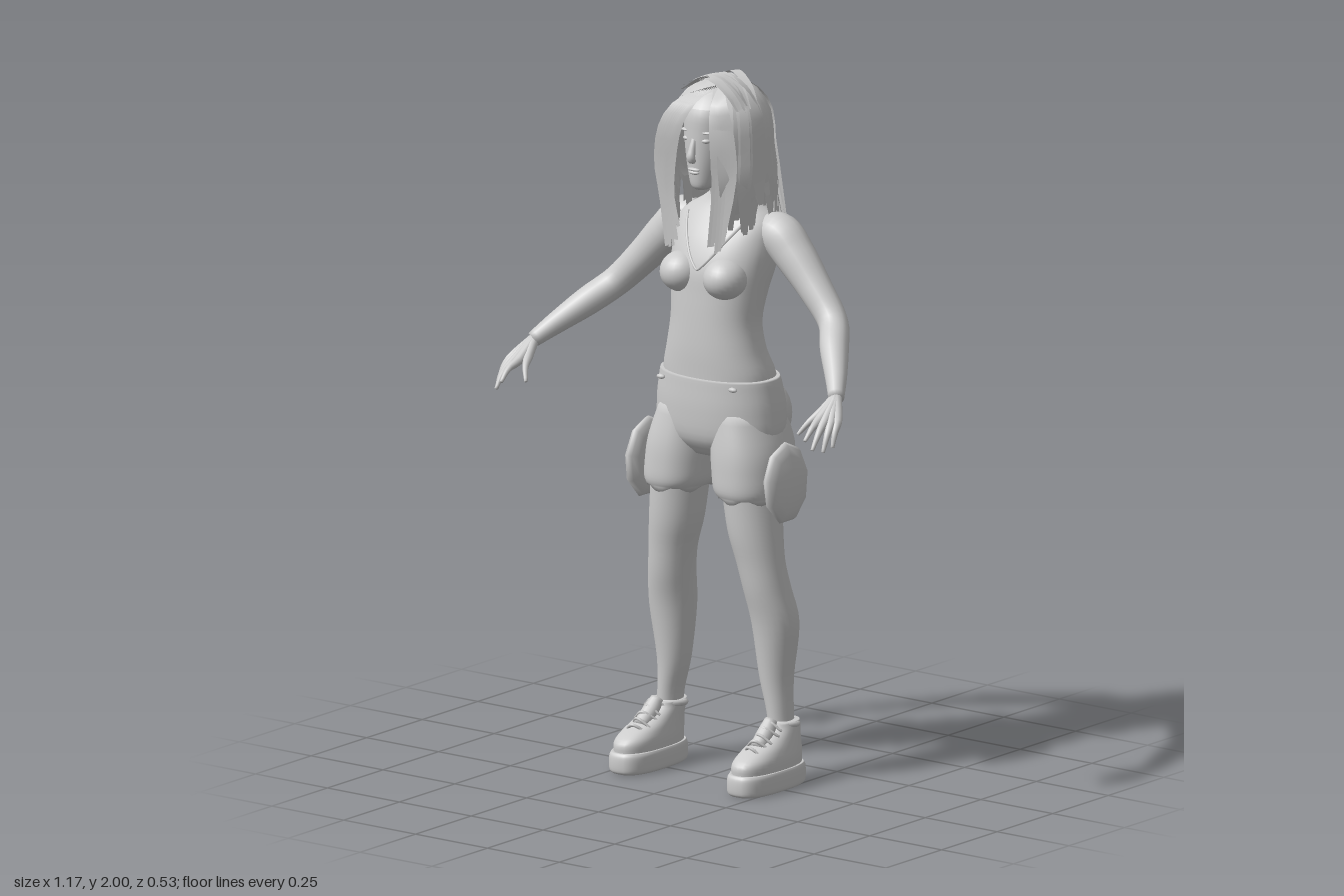
import * as THREE from 'three';

const mat = new THREE.MeshStandardMaterial({ color: 0xcccccc, side: THREE.DoubleSide });
mat.name = 'light grey';
const V = (x, y, z) => new THREE.Vector3(x, y, z);

let seed = 7;
const rnd = (a, b) => {
  seed = (seed * 16807) % 2147483647;
  return a + (b - a) * (seed / 2147483647);
};

// Joins rings of points into a capped skin
function skin(rings) {
  const n = rings[0].length, pos = [], idx = [];
  rings.forEach(r => r.forEach(p => pos.push(p.x, p.y, p.z)));
  for (let i = 0; i < rings.length - 1; i++) for (let j = 0; j < n; j++) {
    const a = i * n + j, b = i * n + (j + 1) % n;
    idx.push(a, a + n, b + n, a, b + n, b);
  }
  [0, rings.length - 1].forEach((k, end) => {
    const c = rings[k].reduce((s, p) => s.add(p), V(0, 0, 0)).divideScalar(n);
    const m = pos.length / 3;
    pos.push(c.x, c.y, c.z);
    for (let j = 0; j < n; j++) {
      const a = k * n + j, b = k * n + (j + 1) % n;
      end ? idx.push(m, b, a) : idx.push(m, a, b);
    }
  });
  return finish(pos, idx);
}
function finish(pos, idx) {
  const g = new THREE.BufferGeometry();
  g.setAttribute('position', new THREE.Float32BufferAttribute(pos, 3));
  g.setIndex(idx);
  g.computeVertexNormals();
  return g;
}

// Upright body form: sections [y, centre x, front z, back z, half width], bottom to top
function sampler(secs) {
  const a = new THREE.CatmullRomCurve3(secs.map(s => V(s[0], s[1], s[4])), false, 'catmullrom');
  const b = new THREE.CatmullRomCurve3(secs.map(s => V(s[2], s[3], 0)), false, 'catmullrom');
  return t => {
    const p = a.getPoint(t), q = b.getPoint(t);
    return { y: p.x, cx: p.y, w: p.z, cz: (q.x + q.y) / 2, d: (q.x - q.y) / 2 };
  };
}
function loft(secs, { n = 32, power = 2.2, hem = 0 } = {}) {
  const at = sampler(secs), rows = (secs.length - 1) * 4, rings = [];
  const f = v => Math.sign(v) * Math.abs(v) ** (2 / power);
  for (let i = 0; i <= rows; i++) {
    const s = at(i / rows), ring = [];
    for (let j = 0; j < n; j++) {
      const a = j / n * Math.PI * 2;
      const y = s.y + (i === 0 ? hem * Math.cos(a * 6) : 0);
      ring.push(V(s.cx + f(Math.cos(a)) * s.w, y, s.cz + f(Math.sin(a)) * s.d));
    }
    rings.push(ring);
  }
  return skin(rings);
}

// Limb along a path: points [x, y, z, radius]
function limb(pts, n = 16, per = 5) {
  const c = new THREE.CatmullRomCurve3(pts.map(p => V(p[0], p[1], p[2])));
  const r = new THREE.CatmullRomCurve3(pts.map((p, i) => V(i, p[3], 0)), false, 'catmullrom');
  const rows = (pts.length - 1) * per, rings = [];
  for (let i = 0; i <= rows; i++) {
    const t = i / rows, p = c.getPoint(t), T = c.getTangent(t), rad = r.getPoint(t).y;
    const ref = Math.abs(T.z) < 0.9 ? V(0, 0, 1) : V(0, 1, 0);
    const N = ref.cross(T).normalize(), B = N.clone().cross(T);
    rings.push(Array.from({ length: n }, (_, j) => {
      const a = j / n * Math.PI * 2;
      return p.clone().addScaledVector(N, Math.cos(a) * rad).addScaledVector(B, Math.sin(a) * rad);
    }));
  }
  return skin(rings);
}

const blob = (x, y, z, rx, ry, rz, ws = 24, hs = 16) =>
  new THREE.SphereGeometry(1, ws, hs).scale(rx, ry, rz).translate(x, y, z);

function mirrored(geo) {
  const g = geo.clone().scale(-1, 1, 1), ix = g.index.array;
  for (let i = 0; i < ix.length; i += 3) [ix[i], ix[i + 1]] = [ix[i + 1], ix[i]];
  return g;
}

// Flat tapering lock of hair along a path, with a fixed width direction
function lock(pts, side, width) {
  const c = new THREE.CatmullRomCurve3(pts), pos = [], idx = [], rows = 12;
  for (let i = 0; i <= rows; i++) {
    const t = i / rows, p = c.getPoint(t);
    const w = width * (0.5 + 0.5 * Math.min(1, t * 3)) * (t > 0.7 ? 1 - (t - 0.7) * 2.4 : 1) / 2;
    [-w, w].forEach(k => pos.push(p.x + side.x * k, p.y + side.y * k, p.z + side.z * k));
    if (i) { const a = i * 2 - 2; idx.push(a, a + 2, a + 1, a + 1, a + 2, a + 3); }
  }
  return finish(pos, idx);
}

export function createModel() {
  const model = new THREE.Group();
  const add = (name, geo, parent = model) => {
    const m = new THREE.Mesh(geo, mat);
    m.name = name;
    parent.add(m);
  };
  const pair = (name, geo) => { add(name + 'Left', geo); add(name + 'Right', mirrored(geo)); };

  // Torso, bust, neck
  const torso = [[1.08, 0, .066, -.165, .168], [1.15, 0, .068, -.16, .17], [1.22, 0, .07, -.135, .15],
    [1.3, 0, .068, -.13, .136], [1.38, 0, .064, -.152, .143], [1.45, 0, .058, -.183, .153],
    [1.52, 0, .03, -.193, .158], [1.58, 0, -.01, -.18, .15], [1.62, 0, -.04, -.155, .09], [1.65, 0, -.05, -.14, .05]];
  add('torso', loft(torso, { n: 40 }));
  pair('bust', blob(.075, 1.43, .025, .062, .058, .066));
  add('neck', limb([[0, 1.56, -.095, .06], [0, 1.63, -.085, .048], [0, 1.73, -.05, .047]]));

  // Raised edge of the top's neckline, laid on the torso
  const at = sampler(torso);
  const edge = [];
  for (let i = -8; i <= 8; i++) {
    const u = Math.abs(i) / 8, x = i / 8 * .1;
    let t = 0;
    while (at(t).y < 1.45 + .135 * u ** 1.3 && t < 1) t += .004;
    const s = at(t);
    edge.push([x, s.y, s.cz + s.d * (1 - Math.abs(x / s.w) ** 2.2) ** (1 / 2.2), .004]);
  }
  add('neckline', limb(edge, 6, 2));

  // Head and face
  add('head', loft([[1.678, 0, .055, .005, .018], [1.69, 0, .066, -.03, .034], [1.725, 0, .071, -.09, .05],
    [1.78, 0, .074, -.13, .066], [1.84, 0, .074, -.15, .076], [1.9, 0, .068, -.155, .078],
    [1.95, 0, .03, -.12, .058], [1.97, 0, -.02, -.07, .02]]));
  add('nose', limb([[0, 1.825, .07, .007], [0, 1.795, .08, .01], [0, 1.772, .084, .012], [0, 1.762, .072, .008]], 10));
  add('upperLip', blob(0, 1.739, .071, .02, .005, .009));
  add('lowerLip', blob(0, 1.73, .07, .017, .006, .009));
  pair('eye', blob(.03, 1.822, .056, .016, .008, .014));
  pair('brow', blob(.032, 1.845, .057, .022, .005, .012));

  // Shorts
  add('shortsWaist', loft([[.92, 0, .03, -.12, .1], [.97, 0, .067, -.17, .188], [1.05, 0, .076, -.185, .196],
    [1.12, 0, .075, -.176, .186], [1.145, 0, .074, -.168, .18]], { n: 40 }));
  pair('shortsLeg', loft([[.81, .124, .07, -.138, .084], [.835, .12, .08, -.15, .096], [.88, .116, .081, -.165, .1],
    [.95, .108, .077, -.184, .101], [1.05, .09, .06, -.17, .085]], { n: 48, hem: .008 }));
  pair('seat', blob(.085, 1.02, -.118, .086, .105, .092));
  pair('pocketButton', blob(.125, 1.128, .058, .014, .007, .008, 10, 8));

  // Thigh pads
  const pad = new THREE.SphereGeometry(1, 9, 8).rotateZ(-Math.PI / 2).scale(.03, .116, .093);
  pair('thighPad', pad.rotateZ(.03).translate(.241, .865, -.03));

  // Legs
  pair('leg', loft([[.12, .196, -.03, -.115, .034], [.2, .19, -.028, -.115, .034], [.3, .178, -.02, -.122, .047],
    [.45, .178, 0, -.132, .067], [.55, .165, .022, -.113, .067], [.63, .152, .035, -.1, .069],
    [.72, .136, .05, -.108, .077], [.85, .122, .06, -.12, .08]], { n: 24, power: 2 }));

  // Shoes
  pair('shoeSole', loft([[0, .205, .143, -.123, .058], [.008, .205, .15, -.13, .064], [.03, .205, .152, -.131, .065],
    [.05, .205, .15, -.13, .064], [.06, .205, .143, -.125, .06]], { power: 2.7 }));
  pair('shoeUpper', loft([[.05, .205, .14, -.122, .058], [.085, .205, .138, -.123, .058], [.11, .204, .1, -.123, .054],
    [.135, .202, .04, -.121, .049], [.16, .199, -.005, -.122, .045], [.178, .196, -.018, -.123, .042]], { power: 2.4 }));
  pair('ankleCuff', new THREE.TorusGeometry(.042, .009, 8, 24).rotateX(Math.PI / 2 - .1).translate(.195, .168, -.074));
  pair('shoeTongue', limb([[.203, .12, .05, .022], [.2, .155, .005, .024], [.198, .185, -.02, .018]]));
  for (let i = 0; i < 5; i++) {
    const y = .123 + i * .014, z = .078 - i * .022, k = i % 2 ? .006 : -.006;
    pair('lace' + i, limb([[.168, y - .018, z - .012 + k, .004], [.203, y + .006, z + .006, .005],
      [.238, y - .018, z - .012 - k, .004]], 6));
  }

  // Arms and hands
  pair('arm', limb([[.12, 1.55, -.105, .05], [.165, 1.545, -.103, .06], [.215, 1.5, -.1, .058], [.3, 1.412, -.09, .048],
    [.375, 1.335, -.07, .042], [.43, 1.28, -.005, .04], [.49, 1.22, .065, .03], [.527, 1.18, .112, .022]], 20));
  const fingers = [[.524, 1.135, .183, .528, 1.088, .255], [.541, 1.128, .185, .55, 1.064, .25],
    [.557, 1.126, .175, .568, 1.056, .225], [.568, 1.13, .16, .58, 1.066, .198], [.508, 1.145, .158, .473, 1.09, .215]];
  fingers.forEach(([x, y, z, u, v, w], i) => pair('finger' + i, limb([[.525, 1.185, .108, .015], [x, y, z, .0135],
    [(x + u) / 2 + .003, (y + v) / 2 + .006, (z + w) / 2 + .004, .009], [u, v, w, .005]], 10)));

  // Hair: crown cap plus layered locks falling around the face
  const hair = new THREE.Group();
  hair.name = 'hair';
  model.add(hair);
  add('hairCap', new THREE.SphereGeometry(1, 32, 10, 0, Math.PI * 2, 0, 1.0).scale(.125, .135, .15)
    .translate(0, 1.838, -.055), hair);
  for (let layer = 0; layer < 3; layer++) for (let i = 0; i < 34; i++) {
    const phi = .72 + (i + rnd(0, .8)) / 34 * (Math.PI * 2 - 1.44);
    const dx = Math.sin(phi), dz = Math.cos(phi), k = .95 + layer * .04 + rnd(-.02, .02);
    const at = (r, y, back = 0) => V(dx * .128 * r * k, y, -.055 + dz * .15 * r * k - back);
    const rear = Math.max(0, -dz), front = Math.max(0, dz);
    const end = 1.61 - rear * .12 - front * .09 + rnd(-.05, .06) + (2 - layer) * .01;
    const pts = [at(.12, 1.972), at(.6, 1.95), at(.95, 1.885), at(1.03, 1.79), at(1.06, 1.7, .02 * rear),
      at(1.08 - front * .3 - rear * .1 + rnd(-.08, .12), end, .055 * rear)];
    add('lock', lock(pts, V(dz, 0, -dx), rnd(.045, .065)), hair);
  }

  // Fringe swept to the right side of the face
  for (let i = 0; i < 8; i++) {
    const s = i * .012;
    add('fringeLock', lock([V(.045 - s * .3, 1.965, .0), V(.01 - s * .6, 1.94, .07), V(-.035 - s * .6, 1.87, .092),
      V(-.065 - s * .5, 1.77, .088), V(-.075 - s * .3, 1.66, .08), V(-.05 - s * .5, 1.5 + rnd(0, .08), .075)],
    V(.9, .4, -.15), rnd(.025, .04)), hair);
  }
  // Shorter locks on the left side of the face
  for (let i = 0; i < 5; i++) {
    const s = i * .012;
    add('sideLock', lock([V(.04, 1.965, 0), V(.065 + s * .4, 1.93, .055), V(.078 + s * .6, 1.84, .075 - s * .4),
      V(.08 + s * .7, 1.72, .07 - s * .4), V(.055 + s, 1.5 + rnd(0, .1), .075)], V(.85, .2, -.5), .035), hair);
  }
  // Loose locks crossing the crown
  for (let i = 0; i < 12; i++) {
    const a = rnd(-.5, .5), z = rnd(-.12, .02), y = rnd(1.972, 1.985);
    add('crownLock', lock([V(-.09, y - .035, z - a * .08), V(-.03, y, z - a * .03), V(.02, y + .012, z + a * .03),
      V(.08, y - .02, z + a * .08), V(.115, y - .065, z + a * .1)], V(-a, 0, 1).normalize(), .028), hair);
  }
  return model;
}
